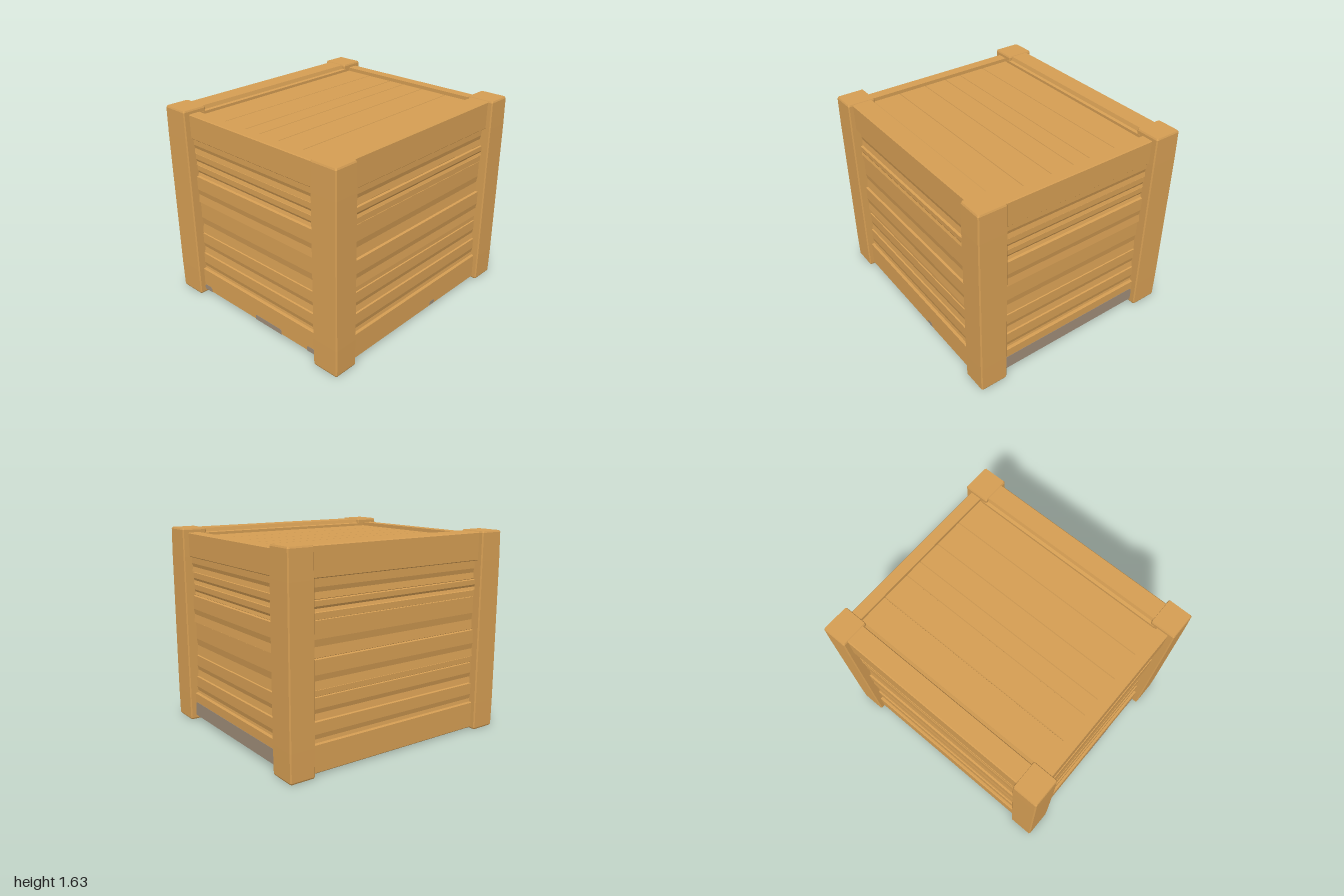
import * as THREE from 'three';

const wood = new THREE.MeshStandardMaterial({ color: 0xd49d53 });
wood.name = 'wood';
const worn = new THREE.MeshStandardMaterial({ color: 0x9d8b77 });
worn.name = 'wornGrey';

function add(parent, name, geometry, material = wood) {
  const mesh = new THREE.Mesh(geometry, material);
  mesh.name = name;
  parent.add(mesh);
  return mesh;
}

const polygon = (points) => new THREE.Shape(points.map(([x, y]) => new THREE.Vector2(x, y)));

// Extrude a profile along z, centred on z = 0
function extrude(shape, length, steps = 1) {
  const g = new THREE.ExtrudeGeometry(shape, { depth: length, bevelEnabled: false, steps });
  return g.translate(0, 0, -length / 2);
}

// Panel of boards facing +x: narrow V grooves at the seams, shallow worn hollows on wide boards
function boardPanel(face, lo, hi, seams, length, relief) {
  const pts = [[face - 0.1, lo]];
  const edges = [lo, ...seams, hi];
  for (let i = 0; i < edges.length - 1; i++) {
    const a = edges[i], b = edges[i + 1], w = b - a;
    const lift = relief * Math.sin(i * 2.3 + 1);
    pts.push([face - 0.012, a + 0.0005], [face + lift, a + 0.004]);
    if (relief && w > 0.07) {
      pts.push([face + lift - relief, a + w * 0.3], [face + lift, a + w * 0.5], [face + lift, a + w * 0.8]);
    }
    pts.push([face + lift, b - 0.004], [face - 0.012, b - 0.0005]);
  }
  pts.push([face - 0.1, hi]);
  return extrude(polygon(pts), length);
}

// Corner post: chamfered section, ends narrowing above and below the band lines
function cornerPost() {
  const w = 0.118, d = 0.105, c = 0.009;
  const section = polygon([[-w + c, -d], [w - c, -d], [w, -d + c], [w, d - c],
    [w - c, d], [-w + c, d], [-w, d - c], [-w, -d + c]]);
  const g = extrude(section, 1.63, 5).rotateX(-Math.PI / 2);
  const p = g.attributes.position;
  const heights = [0, 0.012, 0.23, 1.4, 1.618, 1.63];
  const scales = [0.93, 0.98, 1, 1, 0.98, 0.93];
  for (let i = 0; i < p.count; i++) {
    const ring = Math.round((p.getY(i) + 0.815) / 0.326);
    p.setXYZ(i, p.getX(i) * scales[ring], heights[ring], p.getZ(i) * scales[ring]);
  }
  g.computeVertexNormals();
  return g;
}

// Rail profile in x/y with chamfered outer corners
function railSection(x0, x1, y0, y1, c = 0.006) {
  return polygon([[x0, y0], [x1 - c, y0], [x1, y0 + c], [x1, y1 - c], [x1 - c, y1], [x0, y1]]);
}

// Rounded worn patch, a thin plate rising from a lower edge
function wornPatch(x0, x1, y0, y1) {
  const r = Math.min(0.03, (x1 - x0) / 3, (y1 - y0) / 2);
  const s = new THREE.Shape();
  s.moveTo(x0, y0);
  s.lineTo(x1, y0);
  s.lineTo(x1, y1 - r);
  s.quadraticCurveTo(x1, y1, x1 - r, y1);
  s.lineTo(x0 + r, y1);
  s.quadraticCurveTo(x0, y1, x0, y1 - r);
  return extrude(s, 0.004);
}

export function createModel() {
  const crate = new THREE.Group();
  crate.name = 'woodenCrate';

  // Posts at the four corners
  for (const sx of [-1, 1]) for (const sz of [-1, 1]) {
    add(crate, 'cornerPost', cornerPost()).position.set(sx * 0.789, 0, sz * 0.895);
  }

  const frontSeams = [0.38, 0.565, 0.85, 1.08, 1.175, 1.275];
  const sideSeams = [0.39, 0.565, 0.615, 0.84, 1.11, 1.165, 1.25];
  const lidSeams = [-0.42, -0.18, -0.03, 0.17, 0.415];

  // Left and right walls with broad rails; each rail has a stepped inner lip
  for (const [name, turn] of [['left', 0], ['right', Math.PI]]) {
    const wall = new THREE.Group();
    wall.name = name + 'Wall';
    wall.rotation.y = turn;
    add(wall, 'sideBoards', boardPanel(0.84, 0.2, 1.42, sideSeams, 1.64, 0.009));
    const upper = polygon([[0.67, 1.4], [0.859, 1.4], [0.865, 1.406], [0.865, 1.617],
      [0.857, 1.625], [0.705, 1.625], [0.695, 1.595], [0.67, 1.59]]);
    const lower = polygon([[0.67, 0.04], [0.695, 0.035], [0.705, 0.01], [0.857, 0.01],
      [0.865, 0.018], [0.865, 0.224], [0.859, 0.23], [0.67, 0.23]]);
    add(wall, 'upperSideRail', extrude(upper, 1.66));
    add(wall, 'lowerSideRail', extrude(lower, 1.66));
    crate.add(wall);
  }

  // Front and back walls
  for (const [name, turn] of [['front', -Math.PI / 2], ['back', Math.PI / 2]]) {
    const wall = new THREE.Group();
    wall.name = name + 'Wall';
    wall.rotation.y = turn;
    add(wall, 'endBoards', boardPanel(0.925, 0.2, 1.42, frontSeams, 1.4, 0.009));
    add(wall, 'upperEndRail', extrude(railSection(0.855, 0.95, 1.4, 1.597), 1.4));
    add(wall, 'lowerEndRail', extrude(railSection(0.855, 0.95, 0.035, 0.235), 1.4));
    crate.add(wall);
  }

  // Lid and floor boards running front to back
  const lid = boardPanel(1.568, -0.69, 0.69, lidSeams.map((x) => -x).reverse(), 1.74, 0);
  add(crate, 'lidBoards', lid.rotateZ(Math.PI / 2));
  const floor = boardPanel(-0.06, -0.69, 0.69, lidSeams, 1.74, 0);
  add(crate, 'floorBoards', floor.rotateZ(-Math.PI / 2));

  // Worn grey patches along the lower edges
  for (const [x0, x1] of [[-0.67, -0.58], [-0.02, 0.28], [0.56, 0.65]]) {
    add(crate, 'frontWornPatch', wornPatch(x0, x1, 0.037, 0.08), worn).position.z = 0.95;
  }
  add(crate, 'backWornPatch', wornPatch(-0.67, 0.67, 0.037, 0.155), worn).position.z = -0.95;
  const sidePatch = add(crate, 'sideWornPatch', wornPatch(0.165, 0.225, 0.022, 0.055), worn);
  sidePatch.rotation.y = Math.PI / 2;
  sidePatch.position.x = 0.865;

  return crate;
}
